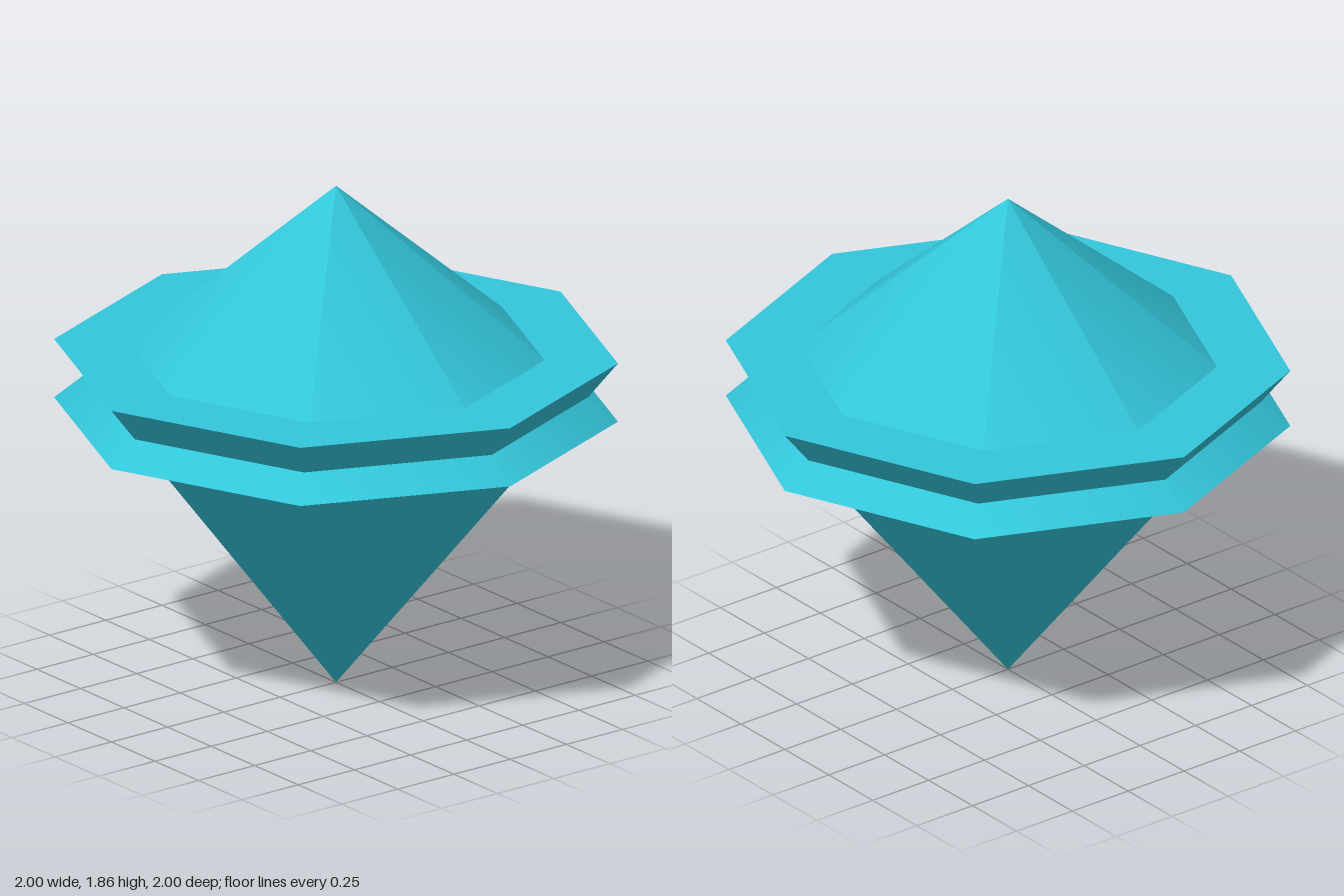
import * as THREE from 'three';

export function createModel() {
  const group = new THREE.Group();
  group.name = 'gem';
  const cyan = new THREE.MeshStandardMaterial({ color: 0x33c6da });
  cyan.name = 'cyan';

  // Octagonal cone spanning baseY to tipY; it hangs down when the tip is lower
  function addCone(name, baseY, tipY) {
    const cone = new THREE.Mesh(new THREE.ConeGeometry(1, Math.abs(tipY - baseY), 8), cyan);
    cone.name = name;
    cone.position.y = (baseY + tipY) / 2;
    if (tipY < baseY) cone.rotation.x = Math.PI;
    group.add(cone);
  }

  // The two cones overlap, which forms the notched girdle
  addCone('crown', 1.022, 1.86);
  addCone('pavilion', 1.24, 0);

  return group;
}
